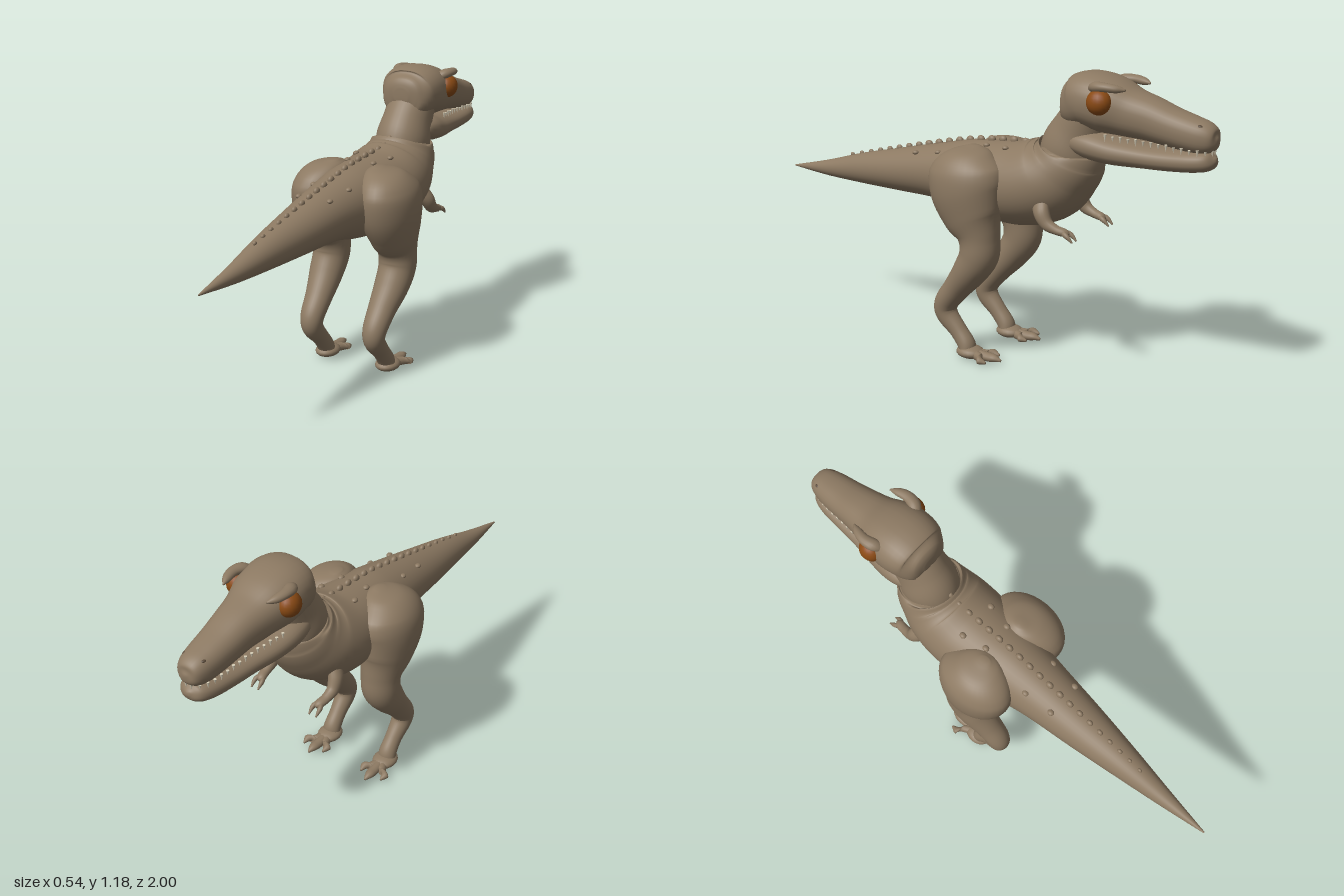
import * as THREE from 'three';

const material = (name, color, side = THREE.FrontSide) =>
  Object.assign(new THREE.MeshStandardMaterial({ color, side }), { name });

// Smooth skin swept through rings [x, y, z, halfWidth, halfDepth], closed at both ends.
function loft(rings, power = 2, sides = 32, perSpan = 6) {
  const path = new THREE.CatmullRomCurve3(rings.map(r => new THREE.Vector3(r[0], r[1], r[2])), false, 'catmullrom', 0.5);
  const size = new THREE.CatmullRomCurve3(rings.map(r => new THREE.Vector3(r[3], r[4], 0)), false, 'catmullrom', 0.5);
  const steps = (rings.length - 1) * perSpan;
  const pos = [], idx = [];
  const round = v => Math.sign(v) * Math.pow(Math.abs(v), 2 / power);
  for (let i = 0; i <= steps; i++) {
    const c = path.getPoint(i / steps), s = size.getPoint(i / steps), t = path.getTangent(i / steps);
    const len = Math.hypot(t.y, t.z) || 1;
    for (let j = 0; j < sides; j++) {
      const a = (j / sides) * Math.PI * 2;
      const u = round(Math.cos(a)) * Math.max(s.x, 0.001), v = round(Math.sin(a)) * Math.max(s.y, 0.001);
      pos.push(c.x + u, c.y - (v * t.z) / len, c.z + (v * t.y) / len);
      if (i < steps) {
        const k = (j + 1) % sides, p = i * sides, q = p + sides;
        idx.push(p + j, q + j, p + k, p + k, q + j, q + k);
      }
    }
  }
  const first = pos.length / 3, last = steps * sides;
  for (const end of [0, 1]) pos.push(...path.getPoint(end).toArray());
  for (let j = 0; j < sides; j++) {
    const k = (j + 1) % sides;
    idx.push(first, j, k, first + 1, last + k, last + j);
  }
  const g = new THREE.BufferGeometry();
  g.setAttribute('position', new THREE.Float32BufferAttribute(pos, 3));
  g.setIndex(idx);
  g.computeVertexNormals();
  return g;
}

export function createModel() {
  const model = new THREE.Group();
  model.name = 'dinosaur';
  const skin = material('skin', 0x8c7962);
  const amber = material('eyeAmber', 0x8a4a14);
  const ivory = material('toothIvory', 0xd6cdb6);
  const dark = material('nostrilBrown', 0x5a4a3a);

  const add = (name, geometry, mat, parent = model) => {
    const m = new THREE.Mesh(geometry, mat);
    m.name = name;
    parent.add(m);
    return m;
  };
  const ball = new THREE.SphereGeometry(1, 20, 14);
  const blob = (name, mat, p, s, parent = model) => {
    const m = add(name, ball, mat, parent);
    m.position.set(...p);
    m.scale.set(...s);
    return m;
  };

  // Tail, torso and upturned chest ending in a collar
  add('body', loft([
    [0, 0.635, 1.0, 0.003, 0.003],
    [0, 0.65, 0.8, 0.035, 0.035],
    [0, 0.674, 0.6, 0.066, 0.066],
    [0, 0.695, 0.4, 0.095, 0.09],
    [0, 0.715, 0.2, 0.12, 0.115],
    [0, 0.717, 0.05, 0.145, 0.145],
    [0, 0.715, -0.1, 0.17, 0.16],
    [0, 0.722, -0.22, 0.18, 0.166],
    [0, 0.757, -0.32, 0.172, 0.165],
    [0, 0.812, -0.382, 0.15, 0.147],
    [0, 0.86, -0.408, 0.133, 0.137],
    [0, 0.875, -0.412, 0.115, 0.12],
  ], 2, 40), skin);

  add('neck', loft([
    [0, 0.8, -0.39, 0.1, 0.11],
    [0, 0.88, -0.41, 0.112, 0.122],
    [0, 0.96, -0.45, 0.102, 0.11],
    [0, 1.05, -0.5, 0.1, 0.09],
  ]), skin);

  // Skull with upper snout
  add('head', loft([
    [0, 1.07, -0.385, 0.03, 0.03],
    [0, 1.07, -0.4, 0.08, 0.075],
    [0, 1.068, -0.44, 0.115, 0.1],
    [0, 1.08, -0.5, 0.132, 0.105],
    [0, 1.065, -0.58, 0.128, 0.105],
    [0, 1.045, -0.66, 0.104, 0.09],
    [0, 1.03, -0.74, 0.088, 0.08],
    [0, 1.01, -0.82, 0.079, 0.071],
    [0, 0.993, -0.9, 0.071, 0.065],
    [0, 0.983, -0.955, 0.06, 0.058],
    [0, 0.978, -0.988, 0.042, 0.04],
    [0, 0.978, -1.0, 0.008, 0.008],
  ], 2.3), skin);

  add('lowerJaw', loft([
    [0, 0.93, -0.43, 0.06, 0.025],
    [0, 0.925, -0.45, 0.1, 0.045],
    [0, 0.915, -0.52, 0.115, 0.058],
    [0, 0.9, -0.61, 0.107, 0.053],
    [0, 0.893, -0.72, 0.088, 0.045],
    [0, 0.892, -0.82, 0.079, 0.042],
    [0, 0.897, -0.92, 0.07, 0.04],
    [0, 0.903, -0.975, 0.05, 0.033],
    [0, 0.908, -0.998, 0.01, 0.008],
  ], 2.3), skin);

  // Teeth along the lip and round the snout tip
  const lip = new THREE.CatmullRomCurve3([
    [0.094, 0.957, -0.6], [0.075, 0.95, -0.72], [0.066, 0.943, -0.82], [0.06, 0.936, -0.9],
    [0.045, 0.933, -0.96], [0.012, 0.933, -0.985],
  ].map(p => new THREE.Vector3(...p)));
  const toothShape = new THREE.ConeGeometry(0.006, 0.024, 8);
  toothShape.rotateX(Math.PI);
  const teeth = new THREE.Group();
  teeth.name = 'teeth';
  model.add(teeth);

  // Spine knobs from tail to neck
  const spine = new THREE.CatmullRomCurve3([
    [0, 0.722, 0.67], [0, 0.785, 0.4], [0, 0.829, 0.2], [0, 0.862, 0.03], [0, 0.878, -0.12],
    [0, 0.888, -0.27], [0, 0.95, -0.345], [0, 1.03, -0.392],
  ].map(p => new THREE.Vector3(...p)));
  const knobs = new THREE.Group();
  knobs.name = 'spineKnobs';
  model.add(knobs);
  for (let i = 0; i <= 22; i++) {
    const p = spine.getPointAt(i / 22), r = 0.008 + 0.006 * Math.min(1, i / 8);
    blob('spineKnob', skin, [0, p.y + 0.003, p.z], [r * 0.85, r * 1.1, r * 1.2], knobs);
  }

  for (const side of [1, -1]) {
    const label = side > 0 ? 'left' : 'right';
    // Mirror every ring across the body
    const mirrored = (rings, power, sides, span) =>
      loft(rings.map(([x, ...rest]) => [x * side, ...rest]), power, sides, span);

    blob(label + 'Eye', amber, [side * 0.115, 1.09, -0.583], [0.042, 0.047, 0.048]);
    add(label + 'Brow', mirrored([
      [0.09, 1.12, -0.53, 0.012, 0.01],
      [0.108, 1.142, -0.56, 0.026, 0.02],
      [0.118, 1.147, -0.605, 0.022, 0.017],
      [0.11, 1.143, -0.65, 0.017, 0.014],
      [0.098, 1.14, -0.68, 0.004, 0.004],
    ], 2, 16), skin);
    blob(label + 'Nostril', dark, [side * 0.04, 1.03, -0.945], [0.009, 0.006, 0.012]);

    for (let i = 0; i < 15; i++) {
      const p = lip.getPointAt(i / 14);
      const tooth = add('tooth', toothShape, ivory, teeth);
      tooth.position.set(side * p.x, p.y, p.z);
      tooth.scale.y = i % 2 ? 0.8 : 1.1;
    }

    // Thigh, shin and ankle in one skin
    const leg = new THREE.Group();
    leg.name = label + 'Leg';
    model.add(leg);
    add('legSkin', mirrored([
      [0.1, 0.868, -0.03, 0.015, 0.02],
      [0.13, 0.845, -0.03, 0.075, 0.09],
      [0.15, 0.785, -0.03, 0.108, 0.155],
      [0.155, 0.7, -0.035, 0.115, 0.16],
      [0.16, 0.6, -0.062, 0.095, 0.128],
      [0.156, 0.52, -0.09, 0.079, 0.087],
      [0.157, 0.445, -0.09, 0.076, 0.08],
      [0.156, 0.37, -0.045, 0.071, 0.068],
      [0.15, 0.29, 0.02, 0.058, 0.054],
      [0.148, 0.22, 0.073, 0.05, 0.048],
      [0.147, 0.17, 0.073, 0.043, 0.045],
      [0.145, 0.11, 0.02, 0.035, 0.036],
      [0.145, 0.06, -0.02, 0.037, 0.036],
      [0.145, 0.025, -0.03, 0.04, 0.03],
    ]), skin, leg);
    blob('footPad', skin, [side * 0.145, 0.03, -0.04], [0.05, 0.026, 0.06], leg);
    for (const [tip, reach] of [[0.1, -0.15], [0.147, -0.187], [0.2, -0.15]]) {
      const mid = (0.145 + tip) / 2;
      add('toe', mirrored([
        [0.145, 0.03, -0.04, 0.02, 0.02],
        [mid, 0.025, (reach - 0.06) / 2, 0.021, 0.018],
        [tip, 0.026, reach + 0.03, 0.018, 0.015],
        [tip, 0.021, reach, 0.004, 0.005],
      ], 2, 14), skin, leg);
    }

    // Small arm with two fingers
    const arm = new THREE.Group();
    arm.name = label + 'Arm';
    model.add(arm);
    add('armSkin', mirrored([
      [0.11, 0.71, -0.34, 0.03, 0.035],
      [0.14, 0.66, -0.362, 0.03, 0.033],
      [0.148, 0.617, -0.39, 0.024, 0.026],
      [0.146, 0.598, -0.43, 0.02, 0.018],
      [0.14, 0.59, -0.465, 0.019, 0.015],
      [0.138, 0.582, -0.48, 0.008, 0.008],
    ], 2, 18), skin, arm);
    for (const out of [-0.016, 0.016]) add('finger', mirrored([
      [0.14 + out * 0.4, 0.592, -0.455, 0.01, 0.011],
      [0.14 + out, 0.583, -0.482, 0.009, 0.01],
      [0.14 + out, 0.561, -0.507, 0.003, 0.003],
    ], 2, 10), skin, arm);

    // Scattered hide bumps on the back
    for (const [x, y, z] of [[0.07, 0.795, 0.28], [0.08, 0.812, 0.16], [0.06, 0.865, -0.06], [0.08, 0.868, -0.16], [0.06, 0.878, -0.24]])
      blob('hideBump', skin, [side * x, y - 0.002, z], [0.012, 0.009, 0.014]);
  }
  return model;
}
